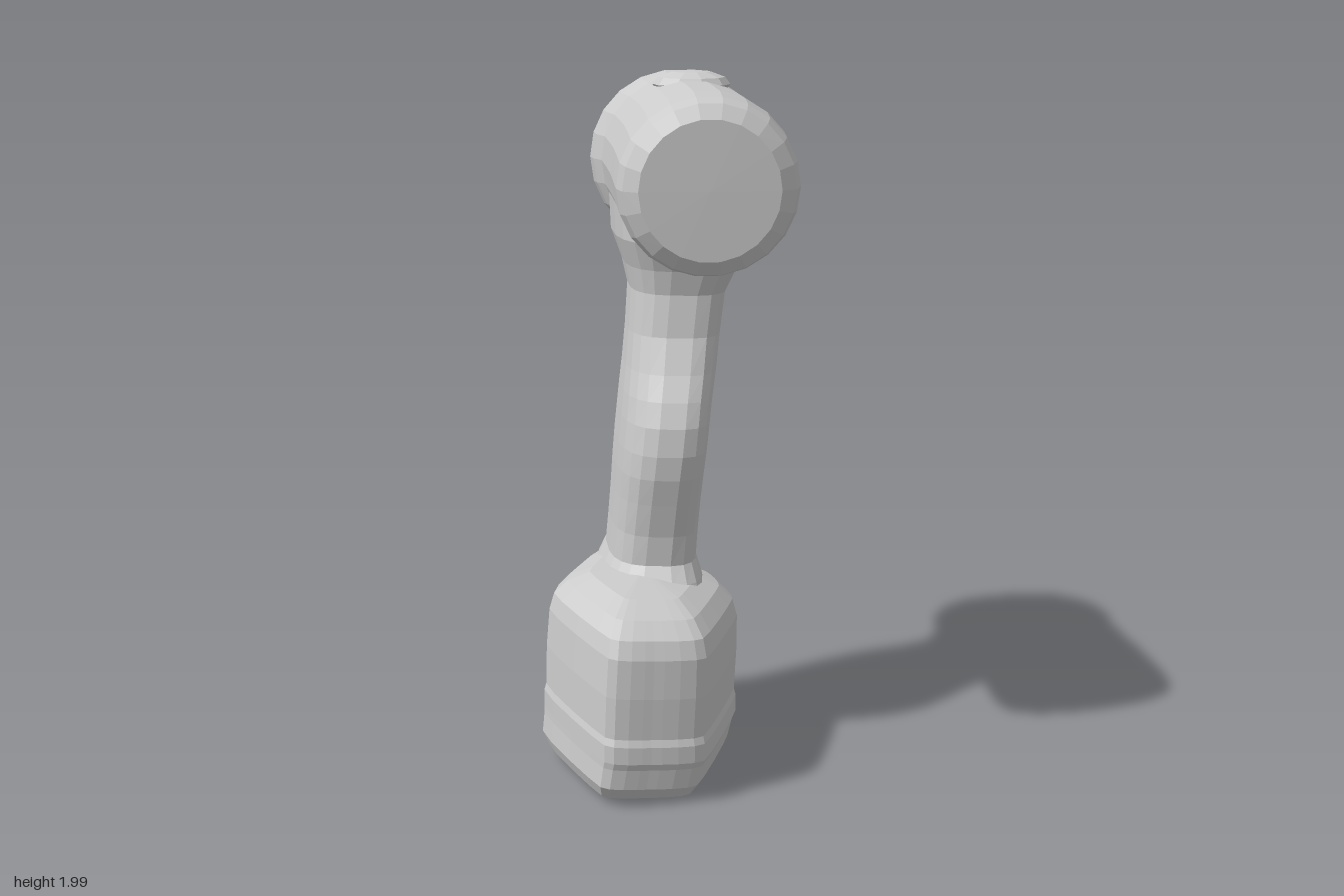
import * as THREE from 'three';

const material = new THREE.MeshStandardMaterial({ color: 0xcccccc, flatShading: true });

// Skin a stack of closed rings, each an array of Vector3, from first to last.
function loft(rings) {
  const n = rings[0].length;
  const pos = [], index = [];
  rings.forEach(r => r.forEach(p => pos.push(p.x, p.y, p.z)));
  for (let i = 0; i < rings.length - 1; i++) {
    for (let j = 0; j < n; j++) {
      const k = (j + 1) % n;
      const a = i * n + j, b = i * n + k, c = a + n, d = b + n;
      index.push(a, c, b, b, c, d);
    }
  }
  const g = new THREE.BufferGeometry();
  g.setAttribute('position', new THREE.Float32BufferAttribute(pos, 3));
  g.setIndex(index);
  g.computeVertexNormals();
  return g;
}

function add(group, name, geometry) {
  const mesh = new THREE.Mesh(geometry, material);
  mesh.name = name;
  group.add(mesh);
  return mesh;
}

// Base block: a rounded polygon in plan, scaled level by level.
function baseGeometry() {
  const corners = [[0.2, 0.06], [0.115, 0.44], [-0.03, 0.5], [-0.16, 0.51],
    [-0.36, 0.15], [-0.27, -0.23], [-0.06, -0.27], [0.15, -0.09]];
  const outline = new THREE.CatmullRomCurve3(
    corners.map(([x, z]) => new THREE.Vector3(x, 0, z)), true, 'catmullrom', 0.22
  ).getPoints(32).slice(0, 32);
  const cx = -0.08, cz = 0.12;
  // y, scale, sideways shift
  const levels = [[0.03, 0, -0.02], [0.03, 0.89, -0.02], [0.07, 0.97, -0.015],
    [0.13, 0.985, -0.005], [0.15, 1, 0], [0.2, 1, 0], [0.22, 0.98, 0],
    [0.34, 0.985, 0.005], [0.45, 0.97, 0.01], [0.5, 0.92, 0.01],
    [0.54, 0.78, 0.01], [0.57, 0.55, 0.01], [0.59, 0, 0.01]];
  return loft(levels.map(([y, s, dx]) => outline.map(p => {
    const x = (p.x - cx) * s;
    return new THREE.Vector3(cx + x + dx, y - 0.08 * x, cz + (p.z - cz) * s);
  })));
}

// Grip: rounded oblong sections that lean sideways and swell at the front.
function gripGeometry() {
  // y, centre x, half width, front z, back z
  const levels = [[0.48, -0.065, 0.17, 0.24, -0.24], [0.56, -0.06, 0.148, 0.2, -0.235],
    [0.61, -0.057, 0.128, 0.165, -0.23], [0.7, -0.05, 0.126, 0.175, -0.24],
    [0.8, -0.042, 0.125, 0.2, -0.245], [0.88, -0.035, 0.126, 0.222, -0.25],
    [0.95, -0.028, 0.127, 0.23, -0.255], [1.03, -0.02, 0.127, 0.224, -0.257],
    [1.1, -0.013, 0.128, 0.2, -0.256], [1.17, -0.004, 0.13, 0.165, -0.25],
    [1.27, 0.006, 0.132, 0.128, -0.237], [1.39, 0.017, 0.136, 0.12, -0.24],
    [1.46, 0.025, 0.16, 0.14, -0.275], [1.54, 0.03, 0.195, 0.18, -0.34],
    [1.65, 0.03, 0.2, 0.18, -0.34]];
  const n = 20;
  const round = v => Math.sign(v) * Math.pow(Math.abs(v), 0.68);
  return loft(levels.map(([y, cx, w, front, back]) => Array.from({ length: n }, (_, j) => {
    const a = (j + 0.5) / n * Math.PI * 2;
    const dz = round(Math.sin(a)) * (front - back) / 2;
    return new THREE.Vector3(cx + round(Math.cos(a)) * w + 0.16 * dz, y, (front + back) / 2 + dz);
  })));
}

// Barrel: domed back, slim collar step, gentle sideways sweep, slanted flat front.
function barrelGeometry() {
  // z, centre x, half width, half height, slant
  const levels = [[-0.512, 0, 0, 0, 0], [-0.505, 0, 0.085, 0.085, 0],
    [-0.473, -0.003, 0.165, 0.165, 0], [-0.42, 0, 0.217, 0.213, 0],
    [-0.36, 0.005, 0.244, 0.24, 0], [-0.29, 0.013, 0.257, 0.255, 0],
    [-0.24, 0.022, 0.253, 0.25, 0], [-0.2, 0.03, 0.234, 0.244, 0],
    [-0.05, 0.057, 0.237, 0.246, 0.03], [0.1, 0.082, 0.24, 0.246, 0.06],
    [0.28, 0.109, 0.246, 0.242, 0.1], [0.4, 0.118, 0.241, 0.236, 0.14],
    [0.455, 0.122, 0.226, 0.224, 0.15], [0.485, 0.124, 0.185, 0.185, 0.15],
    [0.488, 0.124, 0, 0, 0.15]];
  const n = 22;
  return loft(levels.map(([z, cx, w, h, slant]) => Array.from({ length: n }, (_, j) => {
    const a = j / n * Math.PI * 2;
    const x = Math.cos(a) * w;
    return new THREE.Vector3(cx + x, 1.73 - Math.sin(a) * h, z - slant * x);
  })));
}

export function createModel() {
  const group = new THREE.Group();
  group.name = 'handTool';

  add(group, 'base', baseGeometry());
  add(group, 'grip', gripGeometry());
  add(group, 'barrel', barrelGeometry());

  // Low bump on top of the barrel
  const bump = add(group, 'topBump', new THREE.SphereGeometry(1, 10, 6));
  bump.scale.set(0.11, 0.04, 0.1);
  bump.position.set(0.06, 1.96, -0.07);

  return group;
}
